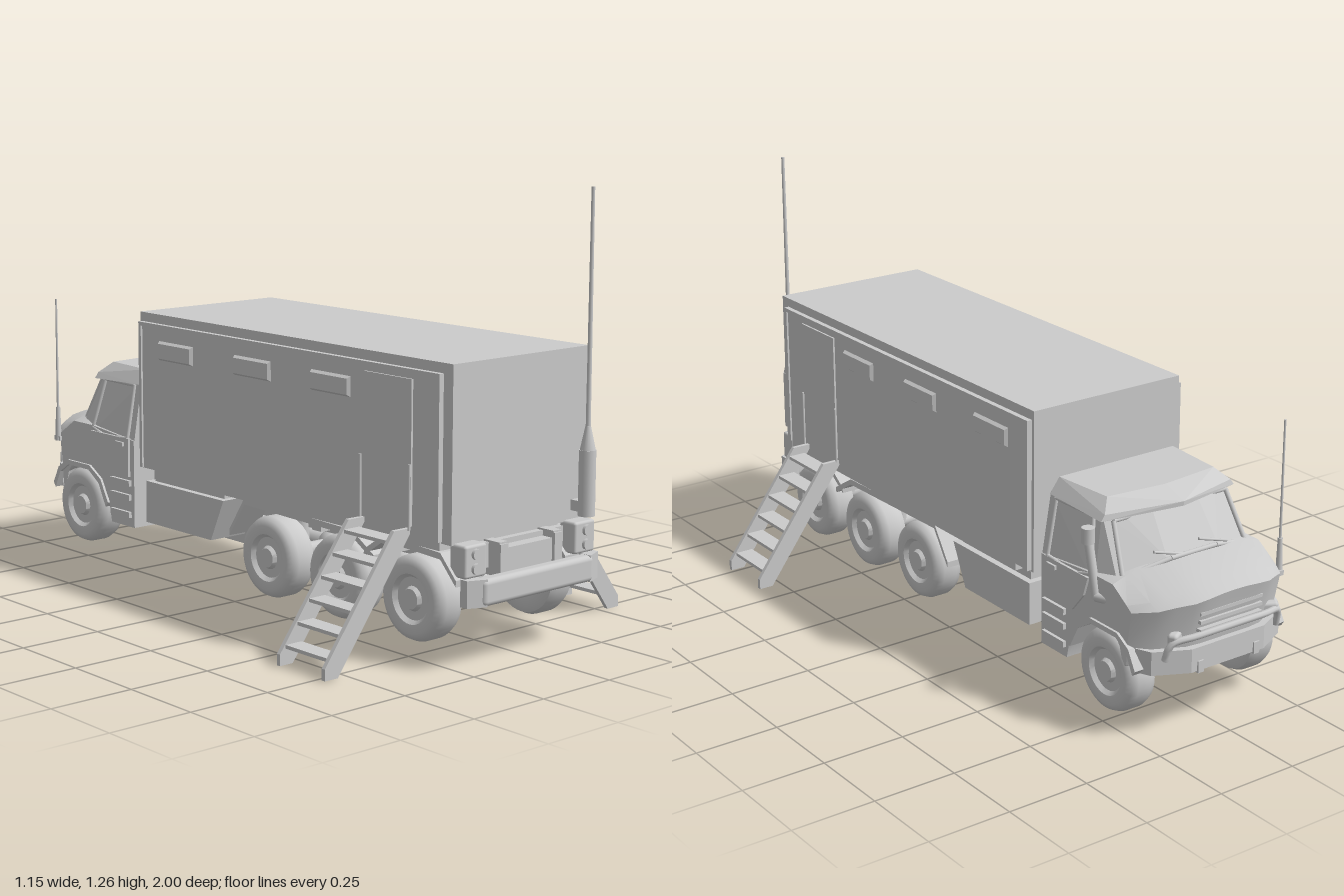
import * as THREE from 'three';
import { toCreasedNormals } from 'three/addons/utils/BufferGeometryUtils.js';
import { ConvexGeometry } from 'three/addons/geometries/ConvexGeometry.js';
import { RoundedBoxGeometry } from 'three/addons/geometries/RoundedBoxGeometry.js';

const material = new THREE.MeshStandardMaterial({ color: 0xcccccc, side: THREE.DoubleSide });

export function createModel() {
  const truck = new THREE.Group();
  truck.name = 'expeditionTruck';

  const add = (name, geometry, x = 0, y = 0, z = 0, parent = truck) => {
    const mesh = new THREE.Mesh(geometry, material);
    mesh.name = name;
    mesh.position.set(x, y, z);
    parent.add(mesh);
    return mesh;
  };
  // Box given by its limits on each axis
  const box = (name, x0, x1, y0, y1, z0, z1, parent) =>
    add(name, new THREE.BoxGeometry(Math.abs(x1 - x0), y1 - y0, Math.abs(z1 - z0)),
      (x0 + x1) / 2, (y0 + y1) / 2, (z0 + z1) / 2, parent);
  const rod = (name, a, b, r0, r1 = r0, parent = truck) => {
    const from = new THREE.Vector3(...a), to = new THREE.Vector3(...b);
    const mesh = add(name, new THREE.CylinderGeometry(r1, r0, from.distanceTo(to), 14), 0, 0, 0, parent);
    mesh.position.copy(from).lerp(to, 0.5);
    mesh.quaternion.setFromUnitVectors(new THREE.Vector3(0, 1, 0), to.sub(from).normalize());
    return mesh;
  };
  const shape = pts => new THREE.Shape(pts.map(p => new THREE.Vector2(...p)));
  // Extrudes a (z, y) side profile across x0..x1
  const sideProfile = (pts, x0, x1, steps = 1) => {
    const g = new THREE.ExtrudeGeometry(shape(pts), { depth: x1 - x0, steps, bevelEnabled: false });
    return g.rotateY(-Math.PI / 2).translate(x1, 0, 0);
  };
  const hull = pts => new ConvexGeometry(pts.map(p => new THREE.Vector3(...p)));
  const mirrored = half => half.flatMap(([x, y, z]) => x ? [[x, y, z], [-x, y, z]] : [[x, y, z]]);
  const sides = [1, -1];

  // Cargo shelter with raised side panels, doors and windows
  box('shelter', -0.26, 0.26, 0.34, 0.825, -0.44, 0.92);
  for (const s of sides) {
    box('sidePanel', s * 0.25, s * 0.27, 0.345, 0.795, -0.43, 0.885);
    box('panelTopTrim', s * 0.25, s * 0.276, 0.785, 0.797, -0.43, 0.885);
    for (const z of [-0.43, 0.873]) box('panelEndTrim', s * 0.25, s * 0.276, 0.345, 0.795, z, z + 0.012);
    box('shelterDoor', s * 0.26, s * 0.276, 0.37, 0.77, 0.59, 0.78);
    for (const z of [-0.25, 0.11, 0.45]) {
      add('windowCover', hull([
        ...[-0.085, 0.085].flatMap(d => [[s * 0.265, 0.75, z + d], [s * 0.265, 0.685, z + d],
          [s * 0.28, 0.74, z + d * 0.9], [s * 0.28, 0.695, z + d * 0.9]])]));
    }
  }

  // Boarding ladders, one on each side
  for (const s of sides) {
    const ladder = new THREE.Group();
    ladder.name = 'ladder';
    truck.add(ladder);
    const rail = shape([[0.272, 0.365], [0.272, 0.35], [0.53, 0], [0.575, 0], [0.575, 0.032], [0.33, 0.365]]
      .map(([x, y]) => [s * x, y]));
    for (const z of [0.58, 0.762])
      add('ladderRail', new THREE.ExtrudeGeometry(rail, { depth: 0.013, bevelEnabled: false }), 0, 0, z, ladder);
    for (let i = 0; i < 6; i++) {
      const y = 0.05 + i * 0.057, x = s * (0.527 - i * 0.0415);
      box('ladderStep', x - 0.028, x + 0.028, y - 0.005, y + 0.005, 0.585, 0.77, ladder);
    }
    for (const z of [0.583, 0.778]) rod('grabHandle', [s * 0.28, 0.36, z], [s * 0.28, 0.54, z], 0.004, 0.004, ladder);
  }

  // Chassis: frame rails, backbone tube and cross members
  for (const s of sides) box('frameRail', s * 0.09, s * 0.12, 0.24, 0.335, -0.85, 0.96);
  for (const z of [-0.45, -0.1, 0.3, 0.62, 0.9]) box('crossMember', -0.19, 0.19, 0.26, 0.33, z - 0.02, z + 0.02);
  box('subframe', -0.17, 0.17, 0.31, 0.345, -0.44, 0.9);
  rod('backboneTube', [0, 0.165, -0.82], [0, 0.165, 0.82], 0.03);
  for (const s of sides) box('lowerRail', s * 0.1, s * 0.13, 0.14, 0.185, -0.62, 0.02);

  // Wheels, axles and hubs
  const tyre = new THREE.LatheGeometry([[0, -0.042], [0.05, -0.042], [0.062, -0.046], [0.095, -0.048],
    [0.112, -0.04], [0.12, -0.022], [0.12, 0.022], [0.112, 0.04], [0.095, 0.049], [0.07, 0.046],
    [0.06, 0.034], [0.035, 0.034], [0.028, 0.045], [0, 0.045]].map(p => new THREE.Vector2(...p)), 40);
  const wheelGeometry = toCreasedNormals(tyre, 0.7);
  for (const z of [0.765, 0.46, 0.16, -0.77]) {
    rod('axle', [-0.2, 0.165, z], [0.2, 0.165, z], 0.022);
    add('differential', new THREE.SphereGeometry(0.048, 16, 12), 0, 0.165, z);
    for (const s of sides) {
      add('wheel', wheelGeometry, s * 0.216, 0.165, z).rotation.z = -s * Math.PI / 2;
      rod('suspensionBellows', [s * 0.13, 0.17, z], [s * 0.13, 0.3, z], 0.026);
    }
  }

  // Mudguards and slanted side lockers
  const guards = [
    [[0.94, 0.25], [0.88, 0.315], [0.66, 0.325], [0.58, 0.27]],
    [[0.62, 0.26], [0.53, 0.315], [0.06, 0.325], [-0.01, 0.22]]];
  for (const s of sides) {
    const x0 = s > 0 ? 0.16 : -0.262, x1 = x0 + 0.102;
    for (const g of guards)
      add('mudguard', sideProfile([...g, ...g.map(([z, y]) => [z, y - 0.018]).reverse()], x0, x1));
    box('deckEdge', s * 0.16, s * 0.265, 0.32, 0.345, -0.36, 0.88);
    add('sideLocker', sideProfile([[-0.04, 0.3], [-0.1, 0.17], [-0.42, 0.17], [-0.42, 0.3]],
      s > 0 ? 0.13 : -0.26, s > 0 ? 0.26 : -0.13));
    box('lockerBracket', s * 0.13, s * 0.24, 0.3, 0.325, -0.4, -0.06);
  }

  // Rear bumper, lamps and winch housing
  add('rearBumper', new RoundedBoxGeometry(0.43, 0.075, 0.045, 3, 0.015), 0, 0.217, 0.977);
  for (const s of sides) {
    add('bumperEnd', hull([0.18, 0.255].flatMap(y => [[s * 0.2, y, 0.997], [s * 0.255, y, 0.975],
      [s * 0.255, y, 0.95], [s * 0.2, y, 0.955]])));
    add('rearLampBox', new RoundedBoxGeometry(0.082, 0.09, 0.06, 2, 0.008), s * 0.212, 0.3, 0.935);
    for (const y of [0.28, 0.32])
      rod('rearLamp', [s * 0.215, y, 0.96], [s * 0.215, y, 0.974], 0.015);
    box('bumperBracket', s * 0.09, s * 0.12, 0.19, 0.33, 0.93, 0.965);
  }
  box('winchHousing', -0.11, 0.11, 0.25, 0.315, 0.9, 0.955);

  // Whip antennas
  rod('rearAntennaBase', [0.215, 0.36, 0.965], [0.215, 0.545, 0.965], 0.024);
  rod('rearAntennaTaper', [0.215, 0.545, 0.965], [0.215, 0.61, 0.965], 0.022, 0.008);
  rod('rearAntennaMast', [0.215, 0.6, 0.965], [0.215, 1.265, 0.965], 0.007, 0.005);
  box('rearAntennaBracket', 0.2, 0.23, 0.37, 0.4, 0.91, 0.96);
  rod('frontAntennaBase', [-0.265, 0.36, -0.885], [-0.265, 0.47, -0.885], 0.01, 0.007);
  rod('frontAntennaMast', [-0.265, 0.46, -0.885], [-0.265, 0.82, -0.885], 0.004, 0.003);
  box('frontAntennaBracket', -0.27, -0.22, 0.36, 0.375, -0.9, -0.87);

  // Cab lower body: side profile with wheel arch, chamfered nose and crowned hood
  const body = sideProfile([[-0.48, 0.14], [-0.6, 0.14], [-0.615, 0.21], [-0.655, 0.265], [-0.71, 0.295],
    [-0.83, 0.295], [-0.885, 0.265], [-0.925, 0.21], [-0.955, 0.22], [-0.965, 0.29], [-1, 0.425],
    [-0.95, 0.44], [-0.8, 0.48], [-0.7, 0.48], [-0.48, 0.46]], -0.262, 0.262, 12);
  const p = body.attributes.position;
  for (let i = 0; i < p.count; i++) {
    const x = Math.abs(p.getX(i)), y = p.getY(i), z = p.getZ(i);
    const reach = 0.2 - Math.max(0, x - 0.12) * 0.6 - Math.max(0, x - 0.22) * 0.8;
    if (z < -0.8) p.setZ(i, -0.8 + (z + 0.8) * reach / 0.2);
    if (y > 0.4) p.setY(i, y - 0.65 * x * x);
  }
  add('cabBody', toCreasedNormals(body, 0.45));
  box('engineBay', -0.14, 0.14, 0.2, 0.36, -0.93, -0.6);
  add('cabUpper', hull(mirrored([[0.262, 0.4, -0.48], [0.262, 0.4, -0.72], [0.235, 0.42, -0.79],
    [0.09, 0.475, -0.82], [0.23, 0.595, -0.48], [0.215, 0.595, -0.69], [0.205, 0.628, -0.485],
    [0.19, 0.628, -0.68], [0.08, 0.6, -0.735]])));
  add('roofVisor', hull(mirrored([[0.238, 0.59, -0.485], [0.238, 0.582, -0.715], [0, 0.595, -0.78],
    [0, 0.608, -0.78], [0.225, 0.6, -0.715], [0.205, 0.634, -0.485], [0.19, 0.634, -0.68], [0, 0.634, -0.7]])));

  // Windscreen frame and wipers
  const edge = [[-0.2, 0.58, -0.722], [0.2, 0.58, -0.722], [0.22, 0.44, -0.79], [0.08, 0.475, -0.825],
    [-0.08, 0.475, -0.825], [-0.22, 0.44, -0.79]];
  edge.forEach((a, i) => rod('windscreenFrame', a, edge[(i + 1) % edge.length], 0.007));
  for (const x of [-0.12, 0.04]) rod('wiper', [x, 0.478, -0.825], [x + 0.09, 0.5, -0.81], 0.004);

  for (const s of sides) {
    // Door, window frame, handle and boarding steps
    const outline = [[-0.5, 0.3], [-0.63, 0.3], [-0.68, 0.36], [-0.7, 0.42], [-0.5, 0.42]];
    add('cabDoor', sideProfile(outline, s > 0 ? 0.255 : -0.27, s > 0 ? 0.27 : -0.255));
    const frame = [[0.264, 0.42, -0.51], [0.233, 0.585, -0.51], [0.228, 0.585, -0.67], [0.258, 0.43, -0.7],
      [0.264, 0.41, -0.63]].map(([x, y, z]) => [s * x, y, z]);
    frame.forEach((a, i) => rod('doorWindowFrame', a, frame[(i + 1) % frame.length], 0.006));
    box('doorHandle', s * 0.265, s * 0.277, 0.395, 0.407, -0.56, -0.52);
    for (const y of [0.17, 0.225, 0.27]) box('cabStep', s * 0.2, s * 0.272, y, y + 0.018, -0.595, -0.495);
    // Flared wheel arch
    const arch = [[-0.61, 0.2], [-0.65, 0.27], [-0.71, 0.305], [-0.83, 0.305], [-0.88, 0.275], [-0.91, 0.22]];
    add('wheelArch', sideProfile([...arch, ...arch.map(([z, y]) => [-0.77 + (z + 0.77) * 0.92, y - 0.015]).reverse()],
      s > 0 ? 0.17 : -0.27, s > 0 ? 0.27 : -0.17));
    // Headlamps, bumper horns and hood vents
    add('headlamp', new RoundedBoxGeometry(0.06, 0.035, 0.03, 2, 0.01), s * 0.165, 0.31, -0.95).rotation.y = s * 0.55;
    box('towHook', s * 0.09, s * 0.11, 0.2, 0.235, -0.985, -0.94);
    const vent = box('hoodVent', s * 0.05, s * 0.13, 0.442, 0.452, -0.915, -0.825);
    vent.rotation.set(-0.26, 0, -s * 0.12);
  }

  // Front bumper, grille bars and bull bar
  add('frontBumper', hull([0.205, 0.275].flatMap(y => mirrored([[0.13, y, -0.98], [0.23, y, -0.93],
    [0.25, y, -0.885], [0.2, y, -0.88]]))));
  for (const y of [0.32, 0.345, 0.37]) box('grilleBar', -0.11, 0.11, y, y + 0.01, -0.99, -0.96);
  const bar = new THREE.CatmullRomCurve3([[-0.2, 0.25, -0.95], [-0.19, 0.3, -0.965], [-0.12, 0.315, -0.988],
    [0.12, 0.315, -0.988], [0.19, 0.3, -0.965], [0.2, 0.25, -0.95]].map(q => new THREE.Vector3(...q)));
  add('bullBar', new THREE.TubeGeometry(bar, 30, 0.01, 8));

  // Air intake snorkel on the left side of the model
  rod('snorkelPipe', [0.262, 0.37, -0.73], [0.268, 0.53, -0.7], 0.013);
  rod('snorkelHead', [0.27, 0.525, -0.7], [0.27, 0.57, -0.7], 0.019);
  rod('snorkelElbow', [0.262, 0.375, -0.73], [0.24, 0.375, -0.79], 0.015);

  return truck;
}
